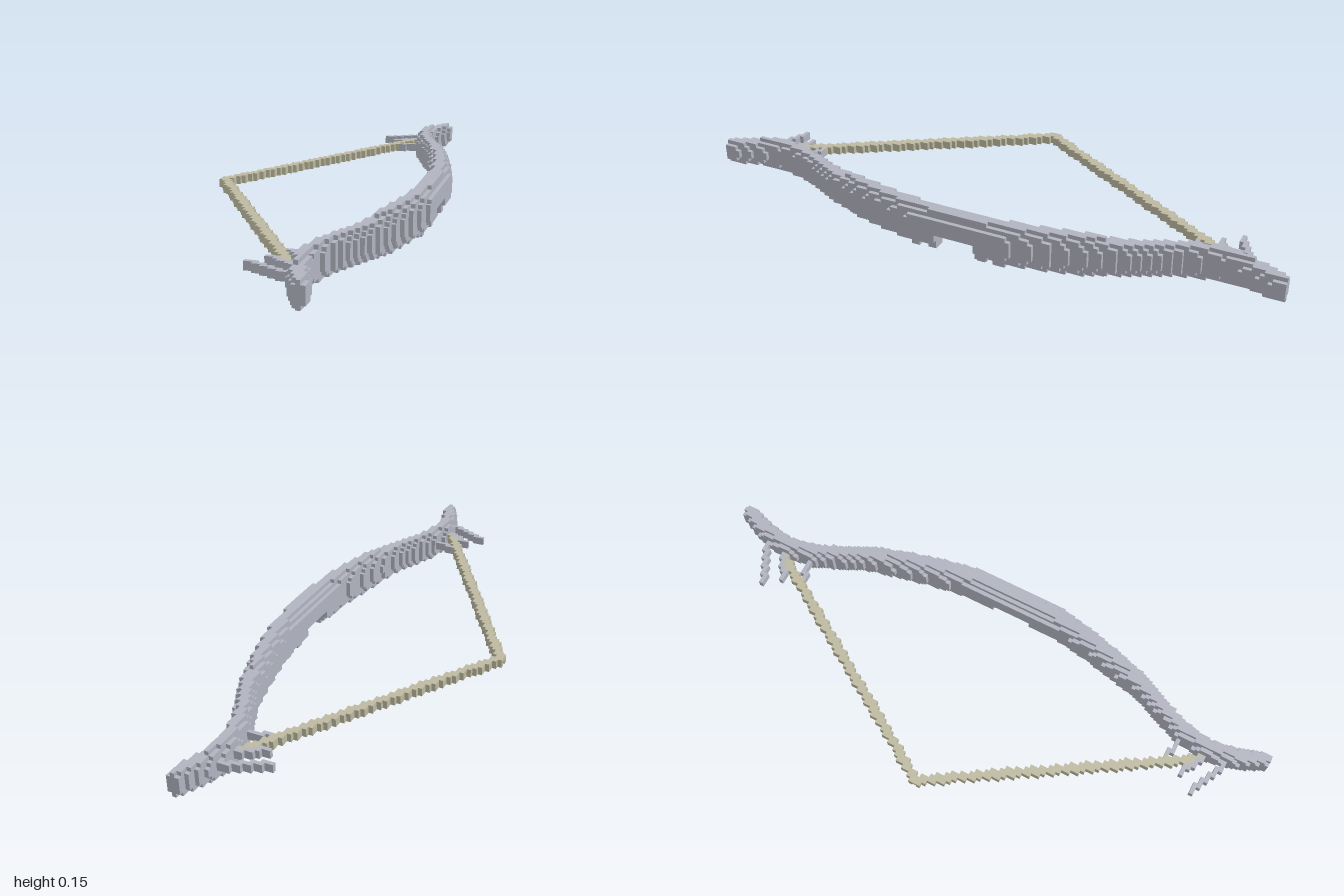
import * as THREE from 'three';

// Voxel grid: 56 x 11 x 145 cells, x and z centred, y from the ground up
const U = 2 / 145, NX = 56, NY = 11, NZ = 145;
const toX = i => (i + 0.5 - NX / 2) * U;
const toZ = k => (k + 0.5 - NZ / 2) * U;
const cellX = x => Math.floor(x / U + NX / 2 + 1e-6);
const cellZ = z => Math.floor(z / U + NZ / 2 + 1e-6);

// Limb profile: distance from the grip, inner x, outer x, half height in cells
const PROFILE = [
  [0, 0.305, 0.386, 4.95], [0.17, 0.305, 0.384, 4.95], [0.3, 0.284, 0.356, 4.9],
  [0.4, 0.262, 0.33, 4.8], [0.52, 0.232, 0.293, 4.3], [0.6, 0.195, 0.255, 4.0],
  [0.7, 0.153, 0.208, 3.9], [0.8, 0.138, 0.19, 3.8], [0.88, 0.146, 0.205, 3.6],
  [0.95, 0.174, 0.228, 3.2], [1, 0.198, 0.236, 2.9],
];

function profileAt(d) {
  let n = 1;
  while (n < PROFILE.length - 1 && PROFILE[n][0] < d) n++;
  const a = PROFILE[n - 1], b = PROFILE[n];
  const t = (d - a[0]) / (b[0] - a[0]);
  return a.map((v, i) => v + (b[i] - v) * t);
}

class Voxels {
  constructor() { this.cells = new Set(); }
  key(i, j, k) { return (k * 64 + j) * 64 + i; }
  add(i, j, k) { this.cells.add(this.key(i, j, k)); }
  has(i, j, k) { return this.cells.has(this.key(i, j, k)); }

  // Draw a stepped line in plan, two cells high
  line(x0, z0, x1, z1, width) {
    const steps = 200;
    for (let s = 0; s <= steps; s++) {
      const t = s / steps;
      const i = cellX(x0 + (x1 - x0) * t), k = cellZ(z0 + (z1 - z0) * t);
      for (let w = 0; w < width; w++) for (const j of [5, 6]) this.add(i + w, j, k);
    }
  }

  // Emit only the exposed cell faces
  mesh(name, material) {
    const pos = [], nor = [];
    for (const key of this.cells) {
      const c = [key % 64, Math.floor(key / 64) % 64, Math.floor(key / 4096)];
      for (let axis = 0; axis < 3; axis++) for (const s of [-1, 1]) {
        const n = [0, 0, 0];
        n[axis] = s;
        if (this.has(c[0] + n[0], c[1] + n[1], c[2] + n[2])) continue;
        const u = (axis + 1) % 3, v = (axis + 2) % 3;
        const corner = (a, b) => {
          const p = [0, 0, 0];
          p[axis] = c[axis] + (s > 0 ? 1 : 0);
          p[u] = c[u] + a;
          p[v] = c[v] + b;
          return [(p[0] - NX / 2) * U, p[1] * U, (p[2] - NZ / 2) * U];
        };
        const q = [corner(0, 0), corner(1, 0), corner(1, 1), corner(0, 1)];
        const order = s > 0 ? [0, 1, 2, 0, 2, 3] : [0, 2, 1, 0, 3, 2];
        for (const o of order) { pos.push(...q[o]); nor.push(...n); }
      }
    }
    const g = new THREE.BufferGeometry();
    g.setAttribute('position', new THREE.Float32BufferAttribute(pos, 3));
    g.setAttribute('normal', new THREE.Float32BufferAttribute(nor, 3));
    const m = new THREE.Mesh(g, material);
    m.name = name;
    return m;
  }
}

function buildLimbs() {
  const v = new Voxels();
  for (let k = 0; k < NZ; k++) {
    const [, inner, outer, half] = profileAt(Math.abs(toZ(k)));
    const cx = (inner + outer) / 2, rx = (outer - inner) / 2;
    const notch = k >= 68 && k <= 77; // arrow rest cut out below the middle
    for (let j = notch ? 5 : 0; j < NY; j++) {
      const dy = Math.abs(j - 5.5) / half;
      if (dy >= 1) continue;
      const w = rx * Math.pow(1 - Math.pow(dy, 2.4), 1 / 2.4);
      for (let i = 0; i < NX; i++) if (Math.abs(toX(i) - cx) <= w) v.add(i, j, k);
    }
  }
  // Small knobs under the grip
  for (const [z0, z1] of [[0.145, 0.165], [-0.083, -0.065], [-0.157, -0.13]])
    for (let k = cellZ(z0); k <= cellZ(z1); k++) for (const i of [52, 53]) { v.add(i, 0, k); v.add(i, 1, k); }
  // Knobs on top where the string is tied
  for (const s of [-1, 1]) for (const i of [39, 40]) for (const j of [8, 9]) v.add(i, j, cellZ(s * 0.8));
  return v;
}

export function createModel() {
  const bow = new THREE.Group();
  bow.name = 'bow';
  const limbGrey = new THREE.MeshStandardMaterial({ color: 0xb1b3c0 });
  limbGrey.name = 'limb grey';
  const stringTan = new THREE.MeshStandardMaterial({ color: 0xbdb9a0 });
  stringTan.name = 'string tan';

  bow.add(buildLimbs().mesh('limbs', limbGrey));

  // Thorns beside the string ties
  const thorns = new Voxels();
  for (const s of [-1, 1]) {
    thorns.line(0.01, s * 0.811, 0.15, s * 0.875, 1);
    thorns.line(0.048, s * 0.752, 0.14, s * 0.805, 1);
    thorns.line(0.09, s * 0.692, 0.15, s * 0.71, 1);
  }
  bow.add(thorns.mesh('thorns', limbGrey));

  // Drawn string, pulled to a point
  const string = new Voxels();
  for (const s of [-1, 1]) string.line(-0.379, 0, 0.125, s * 0.805, 2);
  string.cells.delete(string.key(0, 5, 72));
  bow.add(string.mesh('string', stringTan));
  return bow;
}
